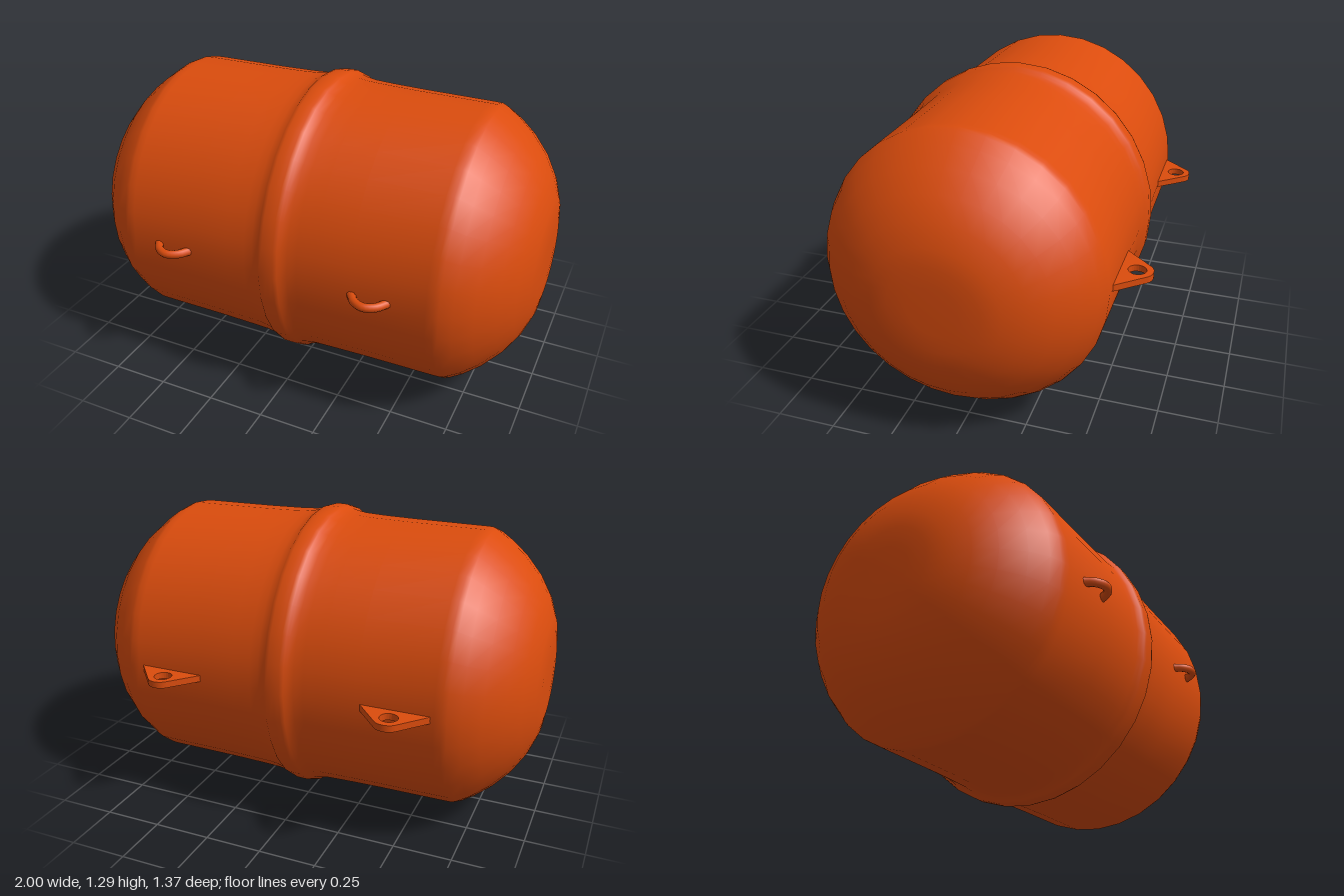
import * as THREE from 'three';
import { mergeVertices } from 'three/addons/utils/BufferGeometryUtils.js';

const CY = 0.645, CZ = 0.0275;
const orange = new THREE.MeshStandardMaterial({ color: 0xdb4c0d });
orange.name = 'orange';

function part(name, geometry) {
  const mesh = new THREE.Mesh(geometry, orange);
  mesh.name = name;
  return mesh;
}

// Barrel with domed ends and a raised middle rib, slightly narrower front to back
function floatBody() {
  const half = [ // [distance from middle, radius]
    [0, 0.645], [0.025, 0.644], [0.042, 0.638], [0.052, 0.628], [0.08, 0.62], [0.12, 0.614],
    [0.2, 0.61], [0.35, 0.607], [0.66, 0.605], [0.69, 0.604], [0.71, 0.595], [0.76, 0.56],
    [0.83, 0.502], [0.9, 0.425], [0.95, 0.345], [0.985, 0.255], [0.997, 0.18], [1, 0.1], [1, 0],
  ];
  const profile = [
    ...half.slice(1).reverse().map(([x, r]) => new THREE.Vector2(r, -x)),
    ...half.map(([x, r]) => new THREE.Vector2(r, x)),
  ];
  let geo = new THREE.LatheGeometry(profile, 32).rotateZ(-Math.PI / 2);
  const p = geo.attributes.position;
  for (let i = 0; i < p.count; i++) {
    const x = Math.abs(p.getX(i));
    const s = x < 0.2 ? THREE.MathUtils.lerp(0.953, 0.971, x / 0.2)
      : THREE.MathUtils.lerp(0.971, 1.02, THREE.MathUtils.smoothstep(x, 0.69, 0.8));
    p.setZ(i, p.getZ(i) * s);
  }
  geo.deleteAttribute('uv');
  geo.deleteAttribute('normal');
  geo = mergeVertices(geo, 1e-4);
  geo.computeVertexNormals();
  return geo;
}

// Triangular plate with rounded tip and a round hole, lying flat and pointing to -z
function lugPlate() {
  const s = new THREE.Shape();
  s.moveTo(-0.16, 0);
  s.lineTo(0.16, 0);
  s.lineTo(0.138, 0.03);
  s.lineTo(0.042, 0.138);
  s.quadraticCurveTo(0.025, 0.155, 0, 0.155);
  s.quadraticCurveTo(-0.025, 0.155, -0.042, 0.138);
  s.lineTo(-0.138, 0.03);
  s.closePath();
  const hole = new THREE.Path();
  hole.absarc(0, 0.09, 0.037, 0, Math.PI * 2, true);
  s.holes.push(hole);
  return new THREE.ExtrudeGeometry(s, { depth: 0.028, bevelEnabled: false, curveSegments: 12 })
    .translate(0, 0, -0.014).rotateX(-Math.PI / 2);
}

// Bent rod eye pointing to +z
function rodEye() {
  const path = new THREE.CatmullRomCurve3([
    [-0.11, -0.05], [-0.075, -0.005], [-0.045, 0.035], [0, 0.054],
    [0.045, 0.035], [0.075, -0.005], [0.11, -0.05],
  ].map(([x, z]) => new THREE.Vector3(x, 0, z)));
  return new THREE.TubeGeometry(path, 24, 0.018, 10);
}

export function createModel() {
  const model = new THREE.Group();
  model.name = 'mooringFloat';

  const body = part('floatBody', floatBody());
  body.position.set(0, CY, CZ);
  model.add(body);

  // Rear lugs
  for (const [name, x] of [['rightRearLug', -0.505], ['leftRearLug', 0.495]]) {
    const lug = part(name, lugPlate());
    lug.position.set(x, CY, -0.535);
    model.add(lug);
  }

  // Front rod eyes
  for (const [name, x] of [['rightFrontEye', -0.465], ['leftFrontEye', 0.43]]) {
    const eye = part(name, rodEye());
    eye.position.set(x, CY + 0.002, 0.613);
    model.add(eye);
  }
  return model;
}
